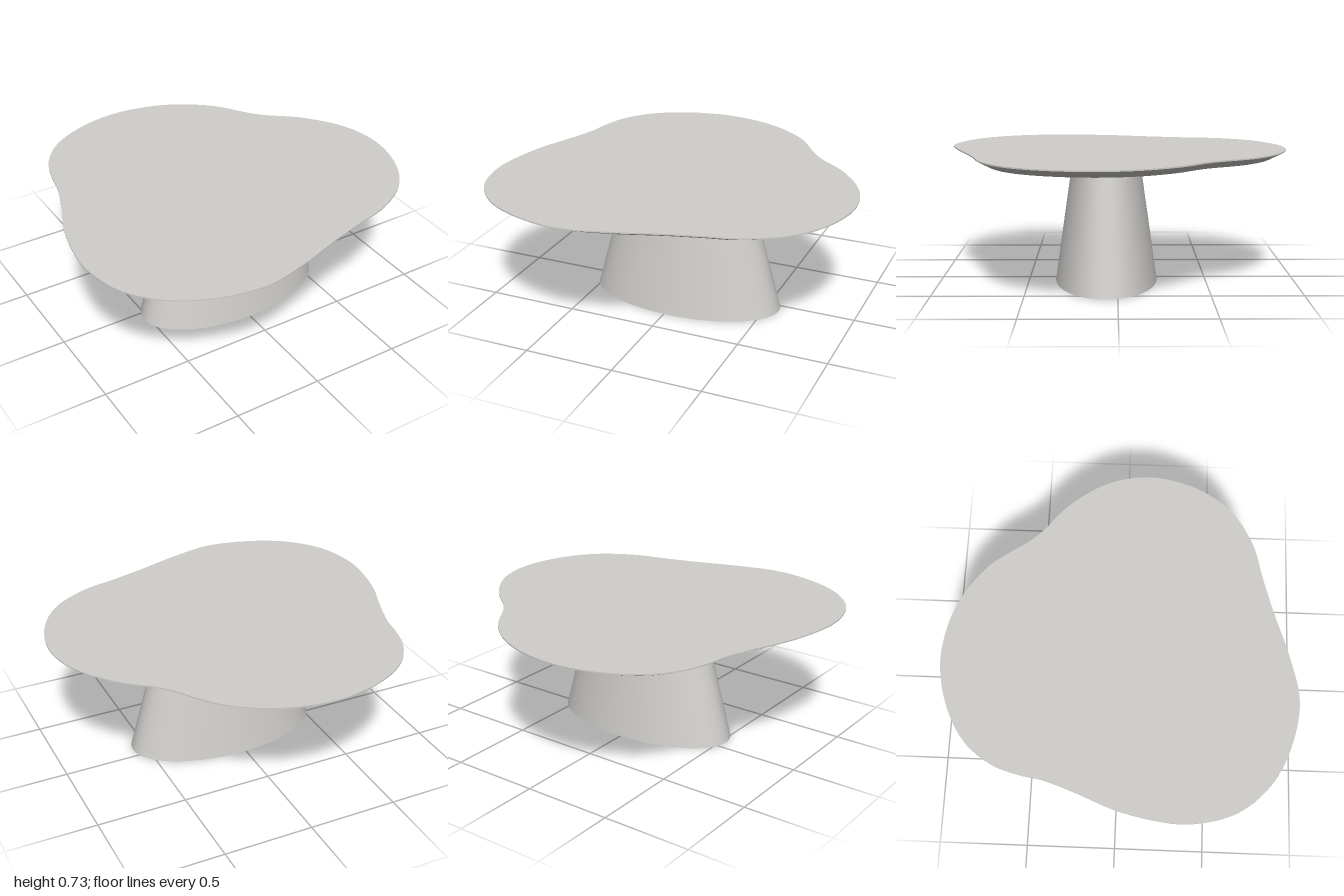
import * as THREE from 'three';

const stone = new THREE.MeshStandardMaterial({ color: 0xd0cecb });
stone.name = 'warm grey';

// Outline of the top as x, z pairs, counterclockwise seen from above
const OUTLINE = [
  [-0.13, -0.97], [-0.4, -0.92], [-0.605, -0.805], [-0.725, -0.65], [-0.775, -0.5],
  [-0.797, -0.38], [-0.86, -0.2], [-0.94, 0], [-0.985, 0.19], [-1, 0.38],
  [-0.94, 0.62], [-0.797, 0.795], [-0.6, 0.906], [-0.32, 0.963], [-0.075, 0.915],
  [0.2, 0.825], [0.4, 0.767], [0.6, 0.713], [0.807, 0.585], [0.94, 0.39],
  [1, 0.136], [0.955, -0.1], [0.807, -0.32], [0.6, -0.5], [0.41, -0.75], [0.17, -0.908],
];
const STEPS = 160;

function makeMesh(name, positions, indices) {
  const geometry = new THREE.BufferGeometry();
  geometry.setAttribute('position', new THREE.Float32BufferAttribute(positions, 3));
  geometry.setIndex(indices);
  geometry.computeVertexNormals();
  const mesh = new THREE.Mesh(geometry, stone);
  mesh.name = name;
  return mesh;
}

export function createModel() {
  const model = new THREE.Group();
  model.name = 'table';

  const curve = new THREE.CatmullRomCurve3(
    OUTLINE.map(([x, z]) => new THREE.Vector3(x, 0, z)), true);
  const points = curve.getSpacedPoints(STEPS).slice(0, STEPS);
  const ring = ([scale, y]) => points.flatMap((p) => [p.x * scale, y, p.z * scale]);

  // Smooth wall between two scaled copies of the outline
  const band = (name, lower, upper) => {
    const indices = [];
    for (let i = 0; i < STEPS; i++) {
      const j = (i + 1) % STEPS;
      indices.push(i, j, STEPS + j, i, STEPS + j, STEPS + i);
    }
    return makeMesh(name, [...ring(lower), ...ring(upper)], indices);
  };

  // Flat face fanned out from the centre
  const cap = (name, level, up) => {
    const indices = [];
    for (let i = 0; i < STEPS; i++) {
      const j = (i + 1) % STEPS;
      indices.push(STEPS, ...(up ? [i, j] : [j, i]));
    }
    return makeMesh(name, [...ring(level), 0, level[1], 0], indices);
  };

  // Tabletop: thin rim above a wide undercut bevel
  const underside = [0.914, 0.689];
  const rimLow = [1, 0.727];
  const rimHigh = [1, 0.734];
  const top = new THREE.Group();
  top.name = 'tabletop';
  top.add(
    cap('topFace', rimHigh, true),
    band('rim', rimLow, rimHigh),
    band('underBevel', underside, rimLow),
    cap('underFace', underside, false),
  );
  model.add(top);

  // Tapered oval pedestal
  const height = 0.689;
  const base = new THREE.Mesh(new THREE.CylinderGeometry(0.658, 1, height, 96), stone);
  base.name = 'pedestal';
  base.scale.set(0.555, 1, 0.288);
  base.position.set(0.025, height / 2, 0.062);
  model.add(base);

  return model;
}
